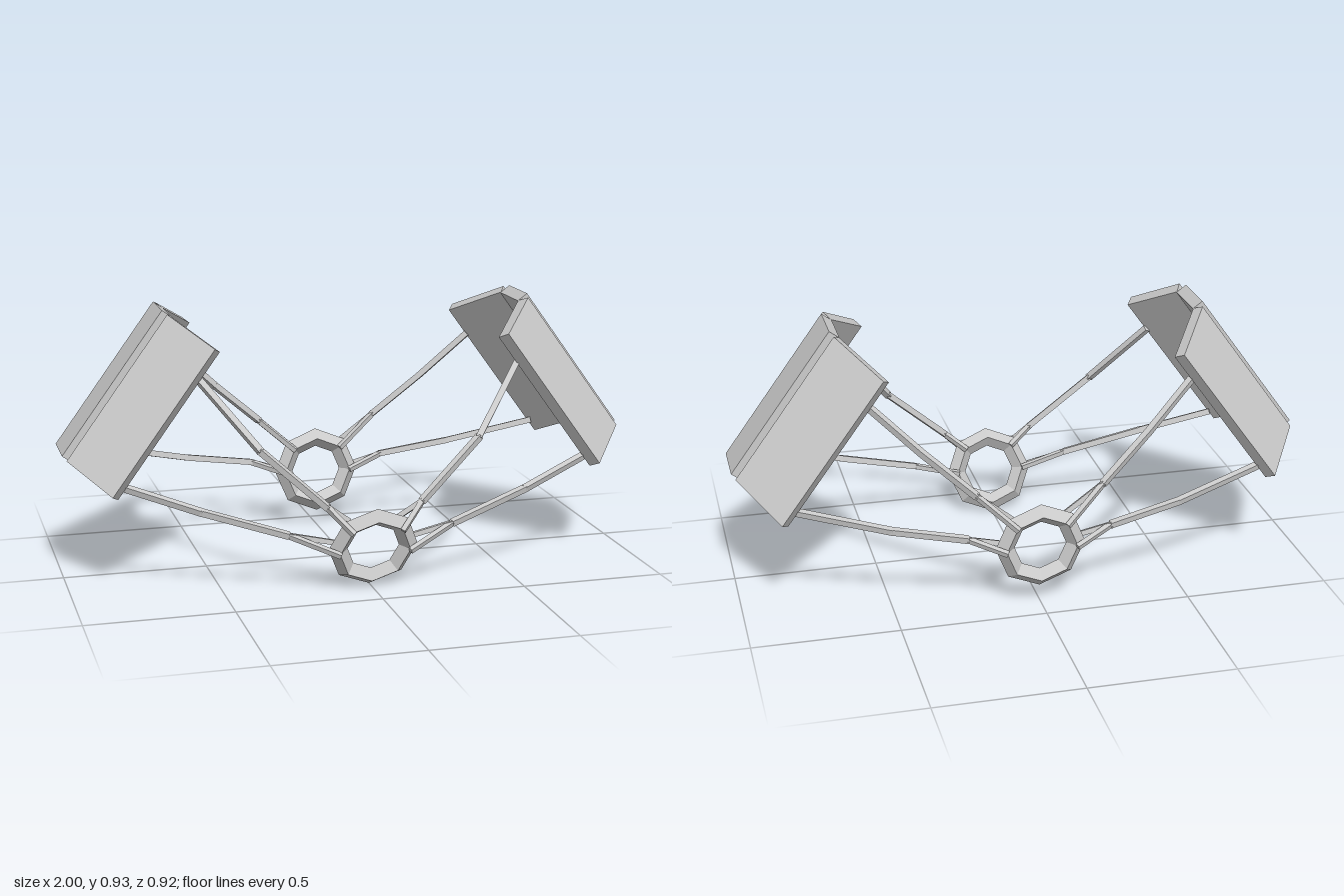
import * as THREE from 'three';

const mat = new THREE.MeshStandardMaterial({ color: 0xcccccc, flatShading: true });
const V = (x, y, z) => new THREE.Vector3(x, y, z);

function add(parent, geometry, name) {
  const mesh = new THREE.Mesh(geometry, mat);
  mesh.name = name;
  parent.add(mesh);
  return mesh;
}

// Square bar between two points
function bar(parent, a, b, radius, name) {
  const dir = b.clone().sub(a);
  const geo = new THREE.CylinderGeometry(radius, radius, dir.length() + radius * 0.5, 4);
  geo.rotateY(Math.PI / 4);
  const mesh = add(parent, geo, name);
  mesh.position.copy(a).add(b).multiplyScalar(0.5);
  mesh.quaternion.setFromUnitVectors(V(0, 1, 0), dir.normalize());
}

// Slab cross-sections as [inward depth, z], swept along the panel's slope
const slabs = {
  middleSlab: [[0, -0.11], [0.042, -0.11], [0.042, 0.07], [0, 0.07]],
  frontSlab: [[0.013, 0.11], [0.04, 0.07], [0.2, 0.235], [0.172, 0.27]],
  backSlab: [[0.013, -0.143], [0.172, -0.342], [0.2, -0.31], [0.04, -0.11]],
};

function sidePanel() {
  const panel = new THREE.Group();
  panel.name = 'sidePanel';
  const basis = new THREE.Matrix4()
    .makeBasis(V(-0.808, -0.589, 0), V(0, 0, 1), V(-0.589, 0.808, 0))
    .setPosition(0.998, 0.453, 0);
  for (const [name, pts] of Object.entries(slabs)) {
    const shape = new THREE.Shape(pts.map(([v, z]) => new THREE.Vector2(v, z)));
    const geo = new THREE.ExtrudeGeometry(shape, { depth: 0.594, bevelEnabled: false });
    add(panel, geo.applyMatrix4(basis), name);
  }
  return panel;
}

// Octagonal rings with a diamond section
const rings = {
  frontRing: { center: V(0, 0.15, 0.38), tilt: 0.35 },
  backRing: { center: V(0, 0.215, -0.405), tilt: -0.06 },
};
const RING = 0.123, TUBE = 0.033;

// Strut paths: panel end to fork; the fork straddles the ring at an angle
const struts = [
  { name: 'frontUpperStrut', ring: 'frontRing', angle: Math.PI / 4,
    path: [V(0.555, 0.72, 0.225), V(0.38, 0.5, 0.352), V(0.165, 0.305, 0.403)] },
  { name: 'frontLowerStrut', ring: 'frontRing', angle: 0,
    path: [V(0.81, 0.37, 0.225), V(0.57, 0.29, 0.3), V(0.29, 0.205, 0.357)] },
  { name: 'backUpperStrut', ring: 'backRing', angle: Math.PI / 4,
    path: [V(0.55, 0.725, -0.3), V(0.39, 0.57, -0.35), V(0.22, 0.42, -0.4)] },
  { name: 'backLowerStrut', ring: 'backRing', angle: 0,
    path: [V(0.81, 0.38, -0.3), V(0.5, 0.305, -0.365), V(0.25, 0.262, -0.4)] },
];

function forkedStrut({ name, ring, angle, path }) {
  const strut = new THREE.Group();
  strut.name = name;
  for (let i = 1; i < path.length; i++) bar(strut, path[i - 1], path[i], 0.015, 'strutBar');
  const { center, tilt } = rings[ring];
  for (const side of [-1, 1]) {
    const tip = V(RING * Math.cos(angle), RING * Math.sin(angle), side * 0.037)
      .applyAxisAngle(V(1, 0, 0), tilt).add(center);
    bar(strut, path[path.length - 1], tip, 0.012, 'forkProng');
  }
  return strut;
}

export function createModel() {
  const model = new THREE.Group();
  model.name = 'model';

  for (const [name, { center, tilt }] of Object.entries(rings)) {
    const ring = add(model, new THREE.TorusGeometry(RING, TUBE, 4, 8), name);
    ring.position.copy(center);
    ring.rotation.x = tilt;
  }

  // Panel and struts, mirrored to both sides
  for (const side of [1, -1]) {
    const half = new THREE.Group();
    half.name = side > 0 ? 'leftSide' : 'rightSide';
    half.scale.x = side;
    half.add(sidePanel(), ...struts.map(forkedStrut));
    model.add(half);
  }
  return model;
}
